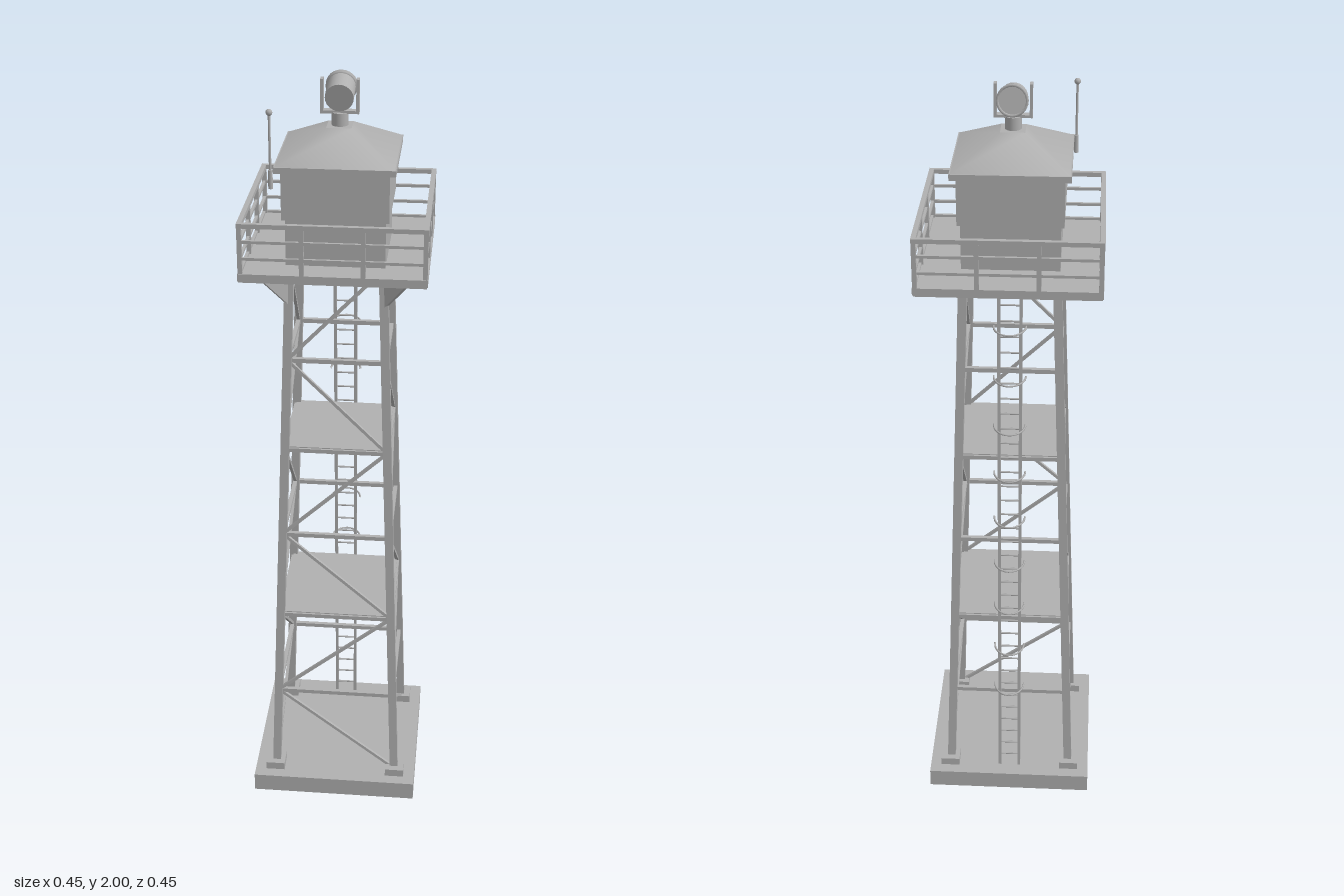
import * as THREE from 'three';

const steel = new THREE.MeshStandardMaterial({ color: 0xb0b0b0 });
steel.name = 'grey steel';

const V = (x, y, z) => new THREE.Vector3(x, y, z);
const UP = V(0, 1, 0);

export function createModel() {
  const model = new THREE.Group();
  model.name = 'watchtower';
  const tower = new THREE.Group();
  tower.name = 'tower';
  tower.position.z = 0.003;
  model.add(tower);

  const add = (name, geo, x = 0, y = 0, z = 0, parent = tower) => {
    const m = new THREE.Mesh(geo, steel);
    m.name = name;
    m.position.set(x, y, z);
    parent.add(m);
    return m;
  };
  const box = (name, w, h, d, x, y, z, parent) => add(name, new THREE.BoxGeometry(w, h, d), x, y, z, parent);
  // straight bar between two points, square or round
  const bar = (name, a, b, t, round = false, parent = tower) => {
    const dir = b.clone().sub(a), len = dir.length();
    const geo = round ? new THREE.CylinderGeometry(t / 2, t / 2, len, 8) : new THREE.BoxGeometry(t, len, t);
    const mid = a.clone().add(b).multiplyScalar(0.5);
    const m = add(name, geo, mid.x, mid.y, mid.z, parent);
    m.quaternion.setFromUnitVectors(UP, dir.normalize());
    return m;
  };

  // taper of the leg centre lines
  const BOTTOM = 0.06, TOP = 1.555;
  const half = (y) => 0.167 + (0.114 - 0.167) * (y - BOTTOM) / (TOP - BOTTOM);
  const corners = [[-1, 1], [1, 1], [1, -1], [-1, -1]];
  const at = (c, y) => V(c[0] * half(y), y, c[1] * half(y));

  // foundation, foot pads and legs
  box('foundation', 0.45, 0.052, 0.45, 0, 0.026, 0);
  for (const c of corners) {
    box('footPad', 0.052, 0.022, 0.052, c[0] * 0.169, 0.063, c[1] * 0.169);
    bar('leg', at(c, BOTTOM), at(c, TOP), 0.022);
  }

  // lattice: horizontal rings, zigzag braces on all faces but the ladder side
  const levels = [BOTTOM, 0.31, 0.56, 0.81, 1.06, 1.31, TOP];
  corners.forEach((a, f) => {
    const b = corners[(f + 1) % 4];
    for (let i = 0; i < 6; i++) {
      if (i > 0) bar('horizontalGirt', at(a, levels[i]), at(b, levels[i]), 0.011);
      if (f === 2) continue;
      const [lo, hi] = i % 2 ? [a, b] : [b, a];
      bar('diagonalBrace', at(lo, levels[i]), at(hi, levels[i + 1]), 0.008);
    }
  });

  // intermediate landings
  for (const y of [0.56, 1.06]) {
    const w = 2 * half(y);
    box('landing', w, 0.01, w, 0, y + 0.003, 0);
  }

  // ladder on the back, leaning with the legs
  const ladderZ = (y) => -half(y) - 0.014;
  for (const s of [-1, 1]) {
    bar('ladderRail', V(s * 0.027, 0.052, ladderZ(0.052)), V(s * 0.027, TOP, ladderZ(TOP)), 0.008);
  }
  for (let i = 0; i < 35; i++) {
    const y = 0.09 + i * 0.0425;
    bar('ladderRung', V(-0.027, y, ladderZ(y)), V(0.027, y, ladderZ(y)), 0.005, true);
  }
  for (let i = 0; i < 9; i++) {
    const y = 0.345 + i * 0.1365;
    const pts = [];
    for (let k = 0; k <= 10; k++) {
      const t = Math.PI * k / 10;
      pts.push(V(0.04 * Math.cos(t), y, ladderZ(y) - 0.053 * Math.sin(t)));
    }
    add('ladderHoop', new THREE.TubeGeometry(new THREE.CatmullRomCurve3(pts), 20, 0.0025, 6));
  }

  // gallery deck with toe board
  box('galleryDeck', 0.446, 0.016, 0.446, 0, 1.562, 0);
  // corner gussets under the front of the deck
  const tri = new THREE.Shape([new THREE.Vector2(0, 0), new THREE.Vector2(0.095, 0), new THREE.Vector2(0, -0.1)]);
  for (const s of [-1, 1]) {
    const geo = new THREE.ExtrudeGeometry(tri, { depth: 0.014, bevelEnabled: false }).translate(0, 0, -0.007);
    const g = add('gusset', geo, s * 0.118, TOP, 0.118);
    g.rotation.y = s > 0 ? -Math.PI / 4 : -3 * Math.PI / 4;
  }

  // railing, one side repeated four times
  const R = 0.2185;
  for (let i = 0; i < 4; i++) {
    const side = new THREE.Group();
    side.name = 'railingSide';
    side.rotation.y = i * Math.PI / 2;
    tower.add(side);
    box('toeBoard', 0.45, 0.018, 0.008, 0, 1.567, 0.221, side);
    box('topRail', 2 * R + 0.012, 0.011, 0.012, 0, 1.695, R, side);
    for (const y of [1.613, 1.655]) box('midRail', 2 * R, 0.007, 0.007, 0, y, R, side);
    for (const x of [-R, -R / 3, R / 3]) box('railPost', 0.011, 0.13, 0.011, x, 1.632, R, side);
  }

  // cabin, set slightly toward the front
  const cabin = new THREE.Group();
  cabin.name = 'cabin';
  cabin.position.z = 0.0215;
  tower.add(cabin);
  box('lowerWall', 0.24, 0.12, 0.24, 0, 1.63, 0, cabin);
  box('upperWall', 0.256, 0.12, 0.256, 0, 1.745, 0, cabin);
  box('eaves', 0.286, 0.015, 0.286, 0, 1.811, 0, cabin);
  const roof = add('roof', new THREE.CylinderGeometry(0.03 * Math.SQRT2, 0.141 * Math.SQRT2, 0.064, 4), 0, 1.85, 0, cabin);
  roof.rotation.y = Math.PI / 4;

  // searchlight on its yoke, pointing back and a little upward
  add('lampPedestal', new THREE.CylinderGeometry(0.02, 0.02, 0.034, 16), 0, 1.896, 0, cabin);
  box('yokeBase', 0.092, 0.007, 0.02, 0, 1.914, 0, cabin);
  for (const s of [-1, 1]) box('yokeArm', 0.007, 0.08, 0.02, s * 0.0425, 1.952, 0, cabin);
  const lamp = new THREE.Group();
  lamp.name = 'searchlight';
  lamp.position.set(0, 1.957, -0.011);
  lamp.rotation.x = -Math.PI / 2 + 0.2;
  cabin.add(lamp);
  add('lampDrum', new THREE.CylinderGeometry(0.034, 0.034, 0.064, 24), 0, 0, 0, lamp);
  const rim = [[0.031, 0.03], [0.038, 0.03], [0.038, 0.04], [0.032, 0.04], [0.032, 0.034]];
  add('lampRim', new THREE.LatheGeometry(rim.map((p) => new THREE.Vector2(...p)), 24), 0, -0.002, 0, lamp);

  // antenna at the front corner of the eaves
  const ax = -0.148, az = 0.17;
  bar('antennaMount', V(ax, 1.77, az), V(ax, 1.815, az), 0.011, true);
  bar('antennaMast', V(ax, 1.8, az), V(ax, 1.95, az), 0.006, true);
  add('antennaTip', new THREE.SphereGeometry(0.008, 10, 8), ax, 1.95, az);

  return model;
}
